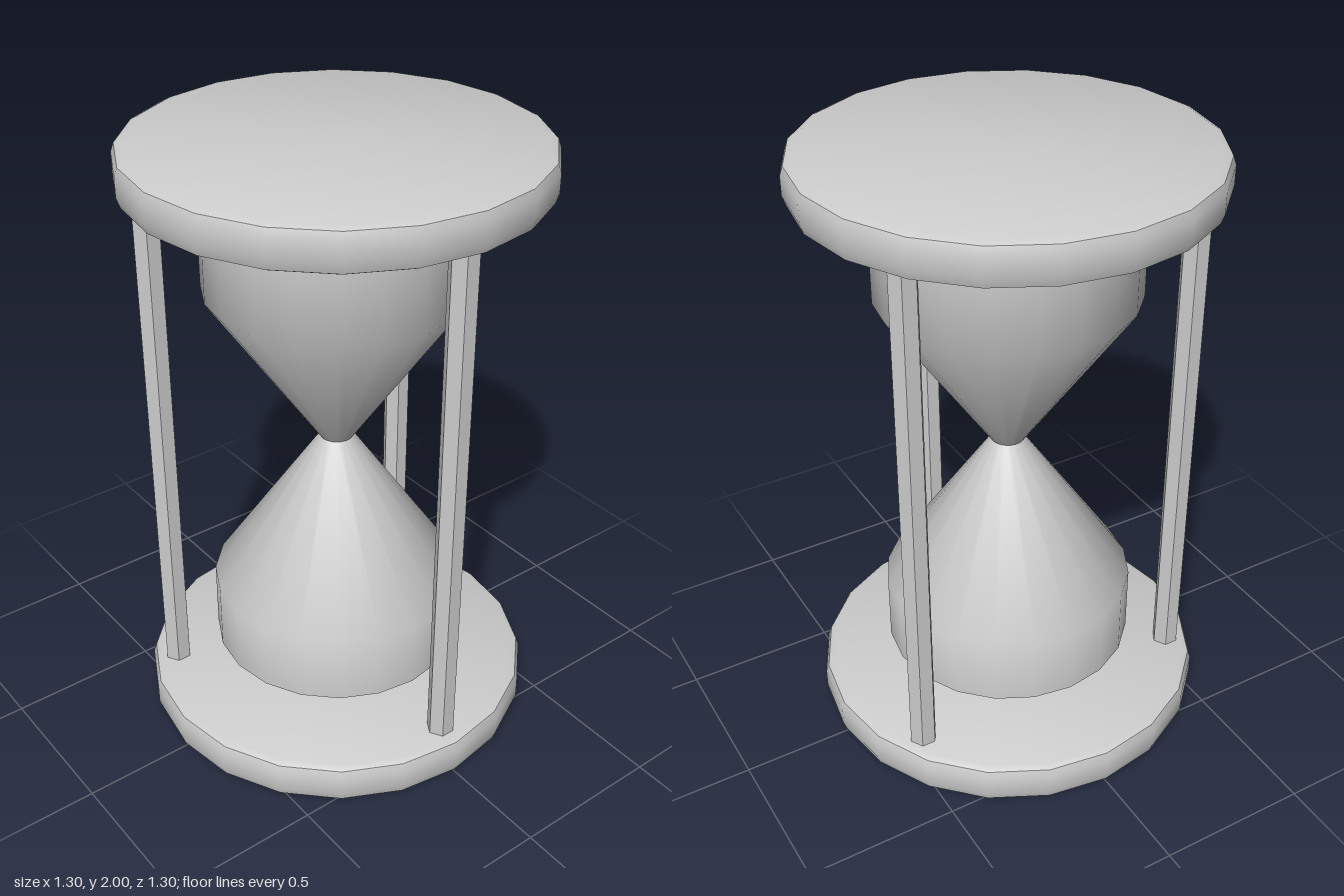
import * as THREE from 'three';
import { toCreasedNormals } from 'three/addons/utils/BufferGeometryUtils.js';

const SIDES = 20;

// Turned shape from [radius, height] pairs, listed bottom to top
function turned(points, name, material) {
  const profile = points.map(([r, y]) => new THREE.Vector2(r, y));
  const geometry = toCreasedNormals(new THREE.LatheGeometry(profile, SIDES), THREE.MathUtils.degToRad(40));
  const mesh = new THREE.Mesh(geometry, material);
  mesh.name = name;
  return mesh;
}

export function createModel() {
  const group = new THREE.Group();
  group.name = 'hourglass';
  const grey = new THREE.MeshStandardMaterial({ color: 0xcccccc });
  grey.name = 'plain grey';

  // End discs with softened rims
  const disc = [[0, 0], [0.62, 0], [0.64, 0.01], [0.65, 0.04], [0.65, 0.1], [0.64, 0.128], [0.62, 0.138], [0, 0.138]];
  for (const [name, y] of [['bottomDisc', 0], ['topDisc', 1.862]]) {
    const mesh = turned(disc, name, grey);
    mesh.position.y = y;
    group.add(mesh);
  }

  // Two bulbs meeting at a narrow neck, with shallow conical ends
  const lower = [[0, 0.138], [0.415, 0.235], [0.415, 0.467], [0.055, 1]];
  const upper = lower.map(([r, y]) => [r, 2 - y]).reverse();
  group.add(turned(lower, 'lowerBulb', grey), turned(upper, 'upperBulb', grey));

  // Three hexagonal posts evenly spaced around the bulbs
  const post = new THREE.CylinderGeometry(0.045, 0.045, 1.74, 6).toNonIndexed();
  post.computeVertexNormals();
  for (let i = 0; i < 3; i++) {
    const angle = (i * Math.PI * 2) / 3;
    const mesh = new THREE.Mesh(post, grey);
    mesh.name = 'post' + (i + 1);
    mesh.position.set(0.56 * Math.cos(angle), 1, 0.56 * Math.sin(angle));
    group.add(mesh);
  }
  return group;
}
